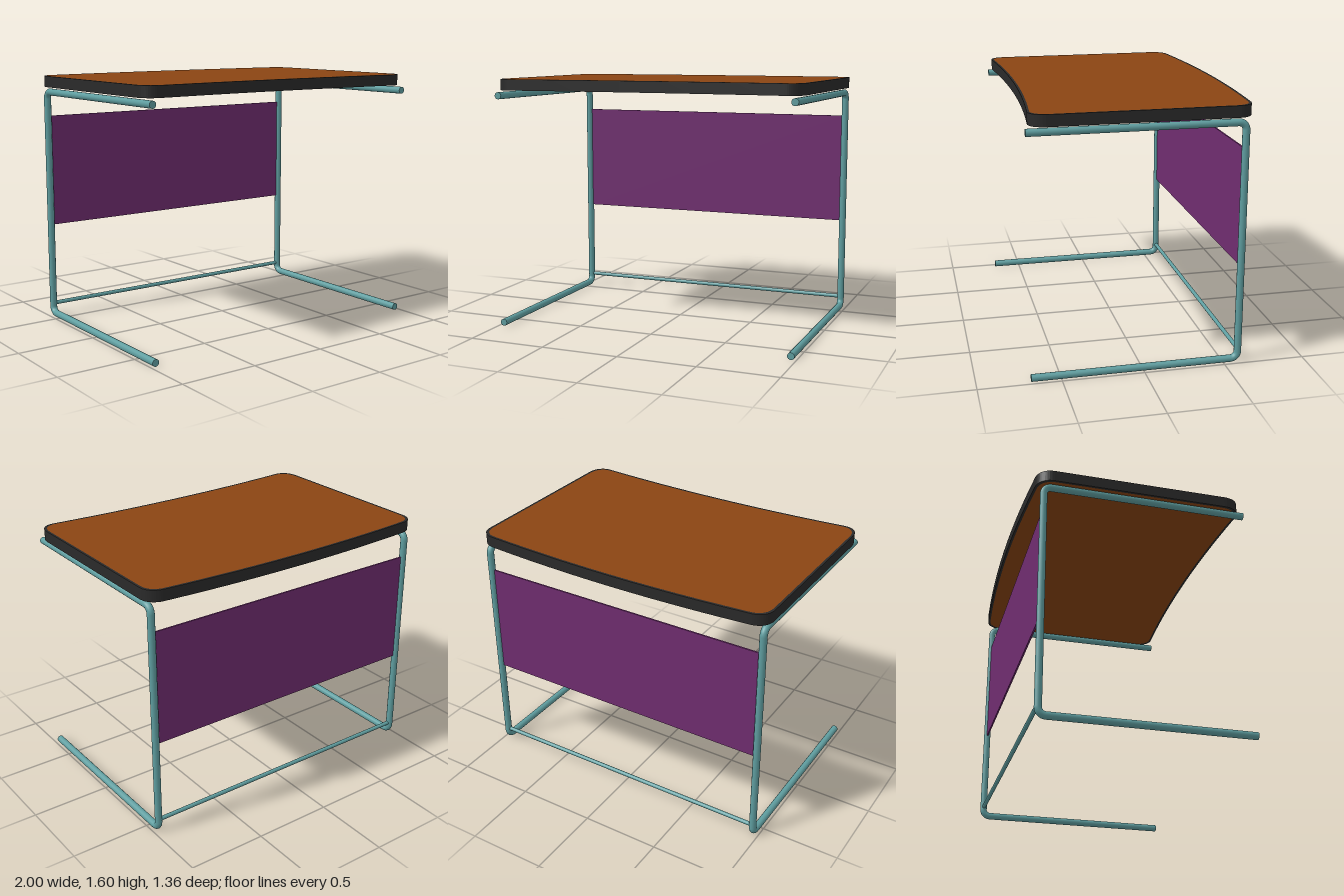
import * as THREE from 'three';

const mat = (color) => new THREE.MeshStandardMaterial({ color });
const TUBE = 0.0225, BEND = 0.045;            // frame tube and bend radii
const FRAME_X = 0.967, BACK = -0.59, FRONT = 0.68, LOW = 0.0235, HIGH = 1.497;

function add(parent, name, geometry, material) {
  const mesh = new THREE.Mesh(geometry, material);
  mesh.name = name;
  parent.add(mesh);
  return mesh;
}

// Round bar between two points
function bar(parent, name, a, b, radius, material) {
  const from = new THREE.Vector3(...a), to = new THREE.Vector3(...b);
  const dir = to.clone().sub(from);
  const mesh = add(parent, name, new THREE.CylinderGeometry(radius, radius, dir.length(), 16), material);
  mesh.position.copy(from).add(to).multiplyScalar(0.5);
  mesh.quaternion.setFromUnitVectors(new THREE.Vector3(0, 1, 0), dir.normalize());
}

// Curved desktop outline with rounded corners (shape y points to the back)
function outline(inset, Type = THREE.Shape) {
  const i = inset, w = 1 - i, c = 0.9 - i * 0.5;
  const s = new Type();
  s.moveTo(-c, -0.66 + i);
  s.quadraticCurveTo(0, -0.58 + i, c, -0.66 + i);
  s.bezierCurveTo(c + 0.05, -0.664 + i, w, -0.63 + i, w, -0.55 + i);
  s.lineTo(w, 0.53 - i);
  s.bezierCurveTo(w, 0.6 - i, c + 0.05, 0.632 - i, c, 0.635 - i);
  s.quadraticCurveTo(0, 0.715 - i, -c, 0.635 - i);
  s.bezierCurveTo(-c - 0.05, 0.632 - i, -w, 0.6 - i, -w, 0.53 - i);
  s.lineTo(-w, -0.55 + i);
  s.bezierCurveTo(-w, -0.63 + i, -c - 0.05, -0.664 + i, -c, -0.66 + i);
  return s;
}

function slab(shape, bottom, height) {
  const g = new THREE.ExtrudeGeometry(shape, { depth: height, bevelEnabled: false, curveSegments: 12 });
  return g.rotateX(-Math.PI / 2).translate(0, bottom, 0);
}

export function createModel() {
  const model = new THREE.Group();
  model.name = 'desk';
  const steel = mat(0x5f9ea0), wood = mat(0x8b4513), black = mat(0x2a2a2a), purple = mat(0x702d70);

  // Desktop with dark edge band
  add(model, 'desktop', slab(outline(0.015), 1.53, 0.07), wood);
  const rim = outline(0);
  rim.holes.push(outline(0.015, THREE.Path));
  add(model, 'edgeBand', slab(rim, 1.53, 0.07), black);

  // C-shaped side frames
  for (const [name, x] of [['leftFrame', FRAME_X], ['rightFrame', -FRAME_X]]) {
    const frame = new THREE.Group();
    frame.name = name;
    model.add(frame);
    bar(frame, 'topRail', [x, HIGH, BACK + BEND], [x, HIGH, FRONT], TUBE, steel);
    bar(frame, 'footRail', [x, LOW, BACK + BEND], [x, LOW, FRONT], TUBE, steel);
    bar(frame, 'upright', [x, LOW + BEND, BACK], [x, HIGH - BEND, BACK], TUBE, steel);
    for (const [bend, y, turn] of [['topBend', HIGH - BEND, Math.PI / 2], ['footBend', LOW + BEND, Math.PI]]) {
      const g = new THREE.TorusGeometry(BEND, TUBE, 16, 8, Math.PI / 2);
      g.rotateZ(turn).rotateY(-Math.PI / 2);
      add(frame, bend, g, steel).position.set(x, y, BACK + BEND);
    }
  }

  // Rear crossbar and modesty panel
  bar(model, 'crossbar', [-FRAME_X, 0.085, BACK], [FRAME_X, 0.085, BACK], 0.013, steel);
  add(model, 'modestyPanel', new THREE.BoxGeometry(1.9, 0.72, 0.01), purple).position.set(0, 0.98, BACK);

  return model;
}
